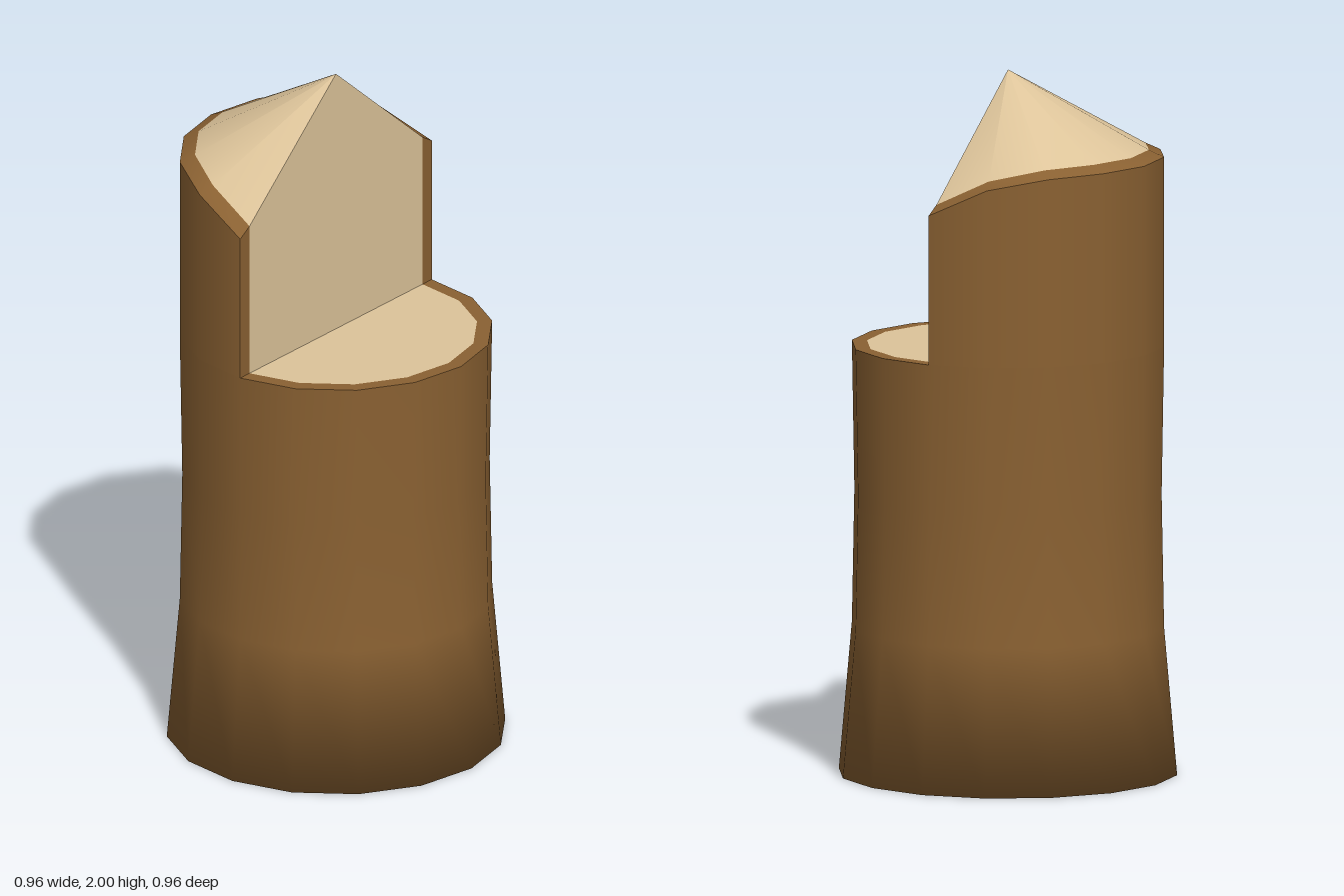
import * as THREE from 'three';

const SIDES = 16;
const CUT_Y = 1.22;
const OUTER = 0.443;
const INNER = 0.4;
const APEX = 2;
// Rim heights from the cut face (first) round to the back of the tall half (last)
const OUTER_RIM = [1.645, 1.725, 1.755, 1.76, 1.76];
const INNER_RIM = [1.67, 1.745, 1.775, 1.78, 1.78];

export function createModel() {
  const bark = new THREE.MeshStandardMaterial({ color: 0x8a6132 });
  bark.name = 'bark brown';
  const wood = new THREE.MeshStandardMaterial({ color: 0xddc49a });
  wood.name = 'pale cut wood';

  const group = new THREE.Group();
  group.name = 'cutLog';
  const add = (name, geometry, material) => {
    const mesh = new THREE.Mesh(geometry, material);
    mesh.name = name;
    group.add(mesh);
  };
  const profile = (points) => points.map(([r, y]) => new THREE.Vector2(r, y));

  // Half turn on the -x side; each profile row may follow a list of rim heights
  const tallHalf = (points, rims) => {
    const geometry = new THREE.LatheGeometry(profile(points), SIDES / 2, Math.PI, Math.PI);
    const pos = geometry.attributes.position;
    for (let i = 0; i < pos.count; i++) {
      const step = Math.floor(i / points.length);
      const rim = rims[i % points.length];
      if (rim) pos.setY(i, rim[Math.min(step, SIDES / 2 - step)]);
    }
    return geometry;
  };
  // Flat half disc or half ring on the +x side
  const lowHalf = (from, to) =>
    new THREE.LatheGeometry(profile([[from, CUT_Y], [to, CUT_Y]]), SIDES / 2, 0, Math.PI);

  // Flared trunk with a closed base
  add('trunk', new THREE.LatheGeometry(profile([
    [0, 0], [0.48, 0], [0.443, 0.42], [0.436, 0.8], [OUTER, CUT_Y],
  ]), SIDES), bark);

  // Low half: bark ring and wood step
  add('stepBarkRim', lowHalf(OUTER, INNER), bark);
  add('stepWood', lowHalf(INNER, 0), wood);

  // Tall half: bark wall, sloping rim and pointed wood top
  add('tallBark', tallHalf([[OUTER, CUT_Y], [OUTER, 1.7]], [null, OUTER_RIM]), bark);
  const rim = tallHalf([[OUTER, 1.7], [INNER, 1.7]], [OUTER_RIM, INNER_RIM]);
  rim.computeVertexNormals();
  add('tallBarkRim', rim, bark);
  const point = tallHalf([[INNER, 1.7], [0, APEX]], [INNER_RIM, null]);
  point.computeVertexNormals();
  add('pointedWoodTop', point, wood);

  // Upright cut face on x = 0, facing +x
  const cutFace = (points) => {
    const shape = new THREE.Shape(profile(points));
    return new THREE.ShapeGeometry(shape).rotateY(Math.PI / 2);
  };
  add('cutWood', cutFace([
    [-INNER, CUT_Y], [INNER, CUT_Y], [INNER, INNER_RIM[0]], [0, APEX], [-INNER, INNER_RIM[0]],
  ]), wood);
  for (const s of [-1, 1]) {
    add(s < 0 ? 'cutBarkFront' : 'cutBarkBack', cutFace([
      [s * INNER, CUT_Y], [s * OUTER, CUT_Y], [s * OUTER, OUTER_RIM[0]], [s * INNER, INNER_RIM[0]],
    ]), bark);
  }
  return group;
}
